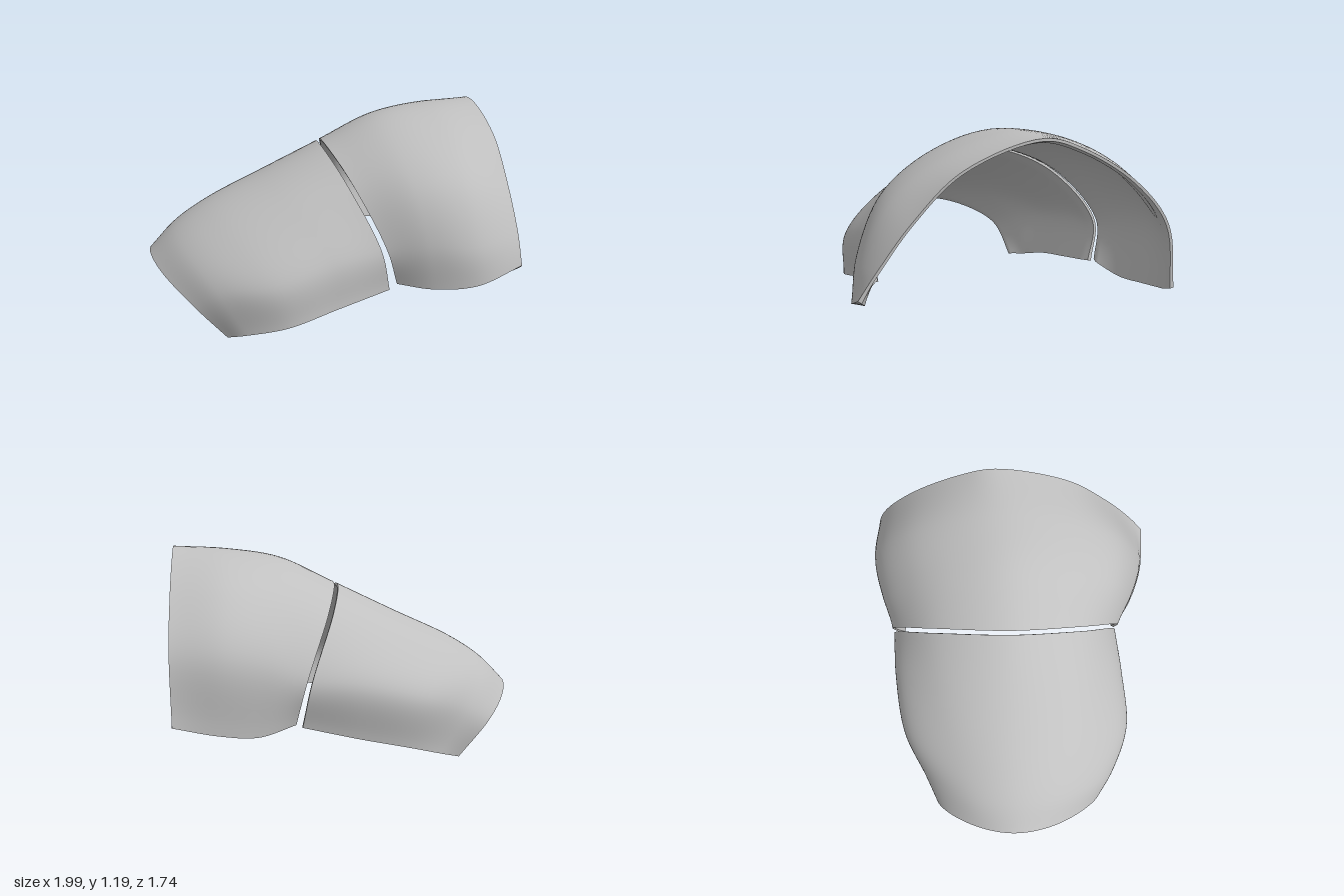
import * as THREE from 'three';
import { toCreasedNormals } from 'three/addons/utils/BufferGeometryUtils.js';

const U = 40, T = 64; // divisions along the limb and around the arch

// Cross-sections run from the front edge, over the ridge, to the back edge.
const lowerSections = [
  [[-.6, .03, .58], [-.77, .19, .5], [-.94, .32, .25], [-.995, .365, 0], [-.94, .32, -.24], [-.79, .2, -.46], [-.6, .01, -.52]],
  [[-.5, .065, .65], [-.64, .29, .58], [-.8, .455, .3], [-.85, .51, 0], [-.8, .455, -.28], [-.65, .29, -.52], [-.48, .05, -.59]],
  [[-.28, .12, .72], [-.36, .35, .69], [-.58, .57, .36], [-.66, .635, 0], [-.58, .57, -.35], [-.38, .38, -.66], [-.28, .11, -.66]],
  [[0, .2, .7], [-.02, .46, .67], [-.22, .71, .4], [-.32, .795, 0], [-.22, .71, -.42], [-.02, .47, -.72], [0, .175, -.69]],
  [[.305, .27, .645], [.255, .5, .645], [.11, .82, .42], [.035, .965, 0], [.11, .83, -.46], [.255, .5, -.735], [.305, .25, -.7]],
];
const upperSections = [
  [[.34, .31, .665], [.28, .51, .665], [.135, .83, .43], [.057, .975, 0], [.135, .84, -.47], [.28, .51, -.745], [.34, .27, -.715]],
  [[.52, .31, .78], [.49, .55, .76], [.44, .82, .63], [.4, 1.02, .36], [.38, 1.125, 0], [.4, 1.06, -.32], [.44, .89, -.6], [.48, .6, -.8], [.54, .23, -.8]],
  [[.74, .345, .86], [.72, .55, .82], [.7, .85, .66], [.69, 1.06, .38], [.68, 1.175, 0], [.69, 1.13, -.3], [.7, .95, -.63], [.72, .66, -.845], [.74, .255, -.85]],
  [[.98, .45, .87], [.99, .6, .77], [.99, .83, .59], [.99, 1.06, .34], [.99, 1.195, -.08], [.99, 1.13, -.3], [.99, .93, -.61], [.99, .68, -.81], [.98, .31, -.87]],
];

// Lofts the sections into a smooth curved plate, thinner at its rims and thicker at its side edges.
function plateGeometry(sections, thickness) {
  const arches = sections.map(s => new THREE.CatmullRomCurve3(s.map(p => new THREE.Vector3(...p))));
  const grid = [];
  for (let j = 0; j <= T; j++) {
    const rail = new THREE.CatmullRomCurve3(arches.map(a => a.getPoint(j / T)));
    grid.push(rail.getPoints(U));
  }
  const at = (i, j) => grid[Math.min(T, Math.max(0, j))][Math.min(U, Math.max(0, i))];
  const depth = (i, j) => {
    const rim = Math.min(1, Math.min(i, U - i) / 2);
    const side = Math.abs(2 * j / T - 1) ** 12;
    return thickness * (0.5 + 0.5 * rim) * (1 + 0.5 * side);
  };

  // Each ring goes over the outer face and returns along the inner face.
  const positions = [], index = [];
  const ring = 2 * (T + 1);
  for (let i = 0; i <= U; i++) {
    for (let k = 0; k < ring; k++) {
      const inner = k > T, j = inner ? ring - 1 - k : k;
      const p = at(i, j).clone();
      if (inner) {
        const along = at(i + 1, j).clone().sub(at(i - 1, j));
        const around = at(i, j + 1).clone().sub(at(i, j - 1));
        p.addScaledVector(along.cross(around).normalize(), -depth(i, j));
      }
      positions.push(p.x, p.y, p.z);
    }
  }
  const quad = (a, b, c, d) => index.push(a, b, c, a, c, d);
  for (let i = 0; i < U; i++) {
    for (let k = 0; k < ring; k++) {
      const n = (k + 1) % ring;
      quad(i * ring + k, (i + 1) * ring + k, (i + 1) * ring + n, i * ring + n);
    }
  }
  // Rims closing both ends
  const end = U * ring;
  for (let j = 0; j < T; j++) {
    const o = j, o2 = j + 1, n = ring - 1 - j, n2 = ring - 2 - j;
    quad(o, o2, n2, n);
    quad(end + o, end + n, end + n2, end + o2);
  }
  const geometry = new THREE.BufferGeometry();
  geometry.setAttribute('position', new THREE.Float32BufferAttribute(positions, 3));
  geometry.setIndex(index);
  return toCreasedNormals(geometry, Math.PI / 4);
}

export function createModel() {
  const group = new THREE.Group();
  group.name = 'archedArmourPlates';
  const grey = new THREE.MeshStandardMaterial({ color: 0xc0c0c0 });
  grey.name = 'plainGrey';
  grey.side = THREE.DoubleSide;

  const parts = { lowerPlate: lowerSections, upperPlate: upperSections };
  for (const [name, sections] of Object.entries(parts)) {
    const mesh = new THREE.Mesh(plateGeometry(sections, 0.03), grey);
    mesh.name = name;
    group.add(mesh);
  }

  // Stand the plates on the ground, centred
  const box = new THREE.Box3().setFromObject(group);
  const centre = box.getCenter(new THREE.Vector3());
  for (const mesh of group.children) mesh.geometry.translate(-centre.x, -box.min.y, -centre.z);
  return group;
}
